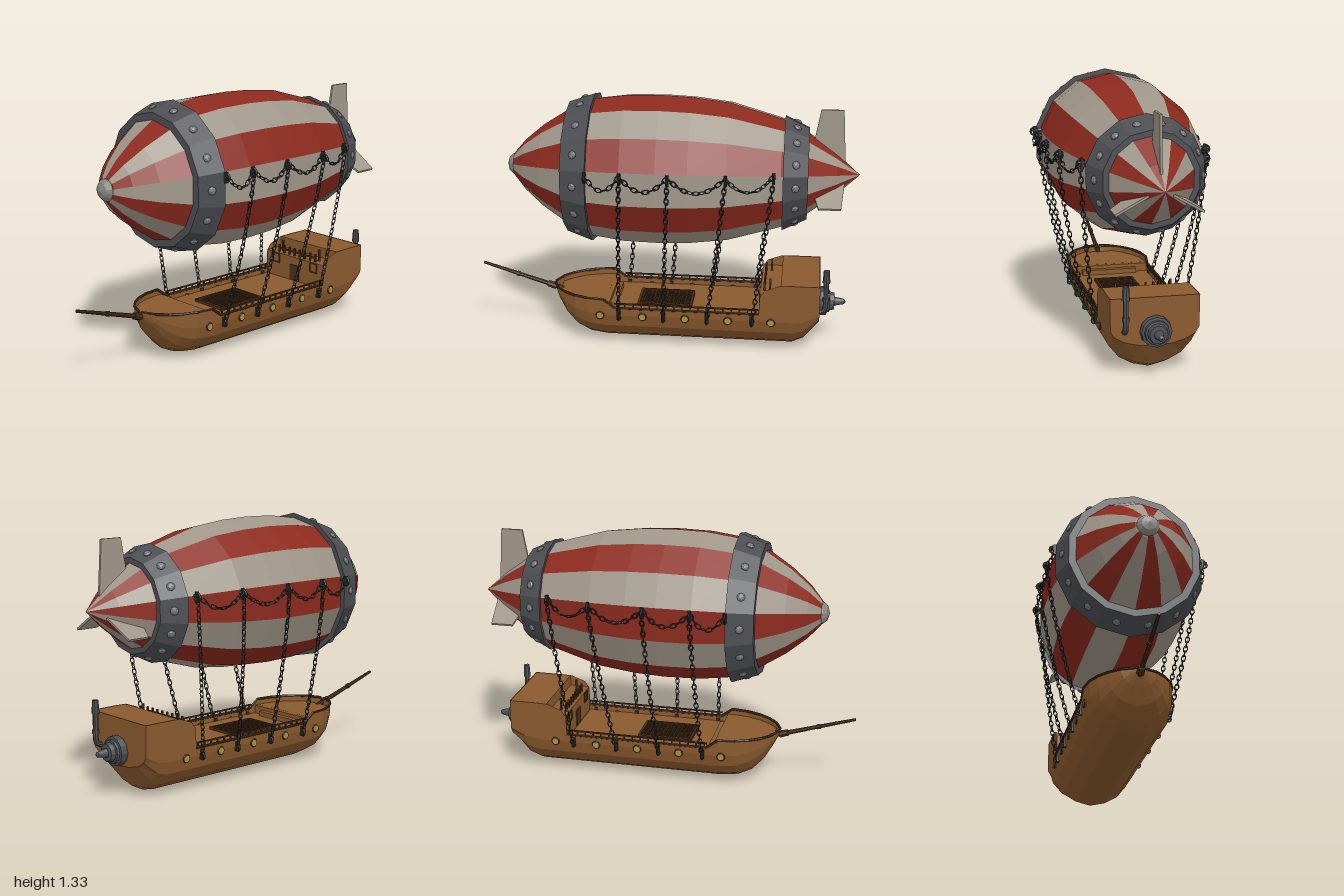
import * as THREE from 'three';
import { mergeGeometries } from 'three/addons/utils/BufferGeometryUtils.js';

const SIDES = 14, STEP = Math.PI * 2 / SIDES, AXIS_Y = 0.94;
const V = (x, y, z) => new THREE.Vector3(x, y, z);
const mat = (color, side = THREE.FrontSide) => new THREE.MeshStandardMaterial({ color, side, flatShading: true });

export function createModel() {
  const model = new THREE.Group();
  const red = mat(0x8c2a1e), cream = mat(0xa0978a), iron = mat(0x4c4e52), dark = mat(0x303032),
    wood = mat(0x8a5a2e), woodShell = mat(0x8a5a2e, THREE.DoubleSide), trim = mat(0x4a2f1b), brass = mat(0xa8944a);

  const add = (name, geo, material, parent = model) => {
    const mesh = new THREE.Mesh(geo, material);
    mesh.name = name;
    parent.add(mesh);
    return mesh;
  };
  const box = (w, h, d, x, y, z) => new THREE.BoxGeometry(w, h, d).translate(x, y, z);
  const rod = (a, b, r0, r1 = r0, sides = 6) => {
    const d = b.clone().sub(a);
    return new THREE.CylinderGeometry(r1, r0, d.length(), sides)
      .applyQuaternion(new THREE.Quaternion().setFromUnitVectors(V(0, 1, 0), d.clone().normalize()))
      .translate(...a.clone().add(b).multiplyScalar(0.5).toArray());
  };
  // Turned shape about the z axis, from [z, radius] pairs running back to front
  const turned = (pts, sides = SIDES, start = 0, sweep = Math.PI * 2) =>
    new THREE.LatheGeometry(pts.map(([z, r]) => new THREE.Vector2(r, z)), sides, start, sweep).rotateX(Math.PI / 2);

  // Balloon: striped gores
  const balloon = new THREE.Group();
  balloon.name = 'balloon';
  balloon.position.y = AXIS_Y;
  model.add(balloon);
  const profile = [[-1, 0], [-0.88, 0.105], [-0.73, 0.215], [-0.6, 0.285], [-0.33, 0.362], [-0.14, 0.385],
    [0.02, 0.392], [0.2, 0.388], [0.37, 0.365], [0.5, 0.31], [0.64, 0.22], [0.74, 0.135], [0.8, 0.065], [0.83, 0]];
  const gores = [[], []];
  for (let i = 0; i < SIDES; i++) gores[i % 2].push(turned(profile, 1, i * STEP, STEP));
  add('redStripes', mergeGeometries(gores[0]), red, balloon);
  add('creamStripes', mergeGeometries(gores[1]), cream, balloon);
  add('noseCap', turned([[0.785, 0.045], [0.79, 0.06], [0.81, 0.056], [0.83, 0.038], [0.842, 0]]), mat(0x8a8780), balloon);

  // Riveted iron bands
  for (const [name, z0, r0, z1, r1] of [['frontBand', 0.37, 0.392, 0.505, 0.345], ['rearBand', -0.735, 0.24, -0.61, 0.3]]) {
    add(name, turned([[z0, r0 - 0.04], [z0, r0], [z1, r1], [z1, r1 - 0.04]]), iron, balloon);
    const rivets = [], r = (r0 + r1) / 2 * Math.cos(STEP / 2), tilt = Math.atan2(r0 - r1, z1 - z0);
    for (let i = 0; i < SIDES; i++) {
      rivets.push(new THREE.SphereGeometry(0.022, 8, 5).scale(1, 0.6, 1).rotateX(tilt)
        .translate(0, r, (z0 + z1) / 2).rotateZ((i + 0.5) * STEP));
    }
    add(name + 'Rivets', mergeGeometries(rivets), mat(0x77787a), balloon);
  }

  // Tail fins
  const finShape = new THREE.Shape([[-0.75, 0.12], [-0.925, 0.03], [-0.905, 0.34], [-0.79, 0.34]].map(p => new THREE.Vector2(...p)));
  const finGeo = new THREE.ExtrudeGeometry(finShape, { depth: 0.012, bevelEnabled: false }).rotateY(-Math.PI / 2).translate(0.006, 0, 0);
  [0, 1, -1].forEach(k => {
    const fin = add('tailFin', finGeo, cream, balloon);
    fin.rotation.z = k * Math.PI * 2 / 3;
    if (k) fin.scale.y = 0.72;
  });

  // Hull: cross-sections [z, half width, keel height, top height] from bow to stern
  const stations = [[0.605, 0.012, 0.25, 0.275], [0.575, 0.085, 0.19, 0.275], [0.53, 0.135, 0.11, 0.275], [0.47, 0.178, 0.045, 0.275],
    [0.4, 0.207, 0.012, 0.275], [0.31, 0.22, 0, 0.275], [0.25, 0.22, 0, 0.23], [-0.505, 0.22, 0, 0.23], [-0.51, 0.22, 0, 0.33],
    [-0.535, 0.22, 0, 0.365], [-0.61, 0.22, 0, 0.393], [-0.68, 0.22, 0, 0.395], [-0.74, 0.22, 0.03, 0.395], [-0.82, 0.22, 0.15, 0.395]];
  const half = [[0.99, 0.68], [0.91, 0.44], [0.68, 0.21], [0.37, 0.07]];
  const section = ([z, w, k, top]) => {
    const side = half.map(([x, h]) => [x * w, k + h * (0.275 - k)]);
    return [[w, top], ...side, [0, k], ...side.map(([x, y]) => [-x, y]).reverse(), [-w, top]].map(([x, y]) => V(x, y, z));
  };
  const rings = stations.map(section), n = rings[0].length, index = [];
  for (let i = 0; i < rings.length - 1; i++) {
    for (let j = 0; j < n - 1; j++) {
      const a = i * n + j, b = a + n;
      index.push(a, b, a + 1, b, b + 1, a + 1);
    }
  }
  const last = (rings.length - 1) * n;
  for (let j = 1; j < n - 1; j++) index.push(last, last + j + 1, last + j);
  for (let j = 1; j < n - 1; j++) index.push(0, j, j + 1);
  const hullGeo = new THREE.BufferGeometry().setFromPoints(rings.flat());
  hullGeo.setIndex(index);
  hullGeo.computeVertexNormals();
  add('hull', hullGeo, woodShell);

  // Decks cut to the hull's outline
  const deck = (name, list, y) => {
    const pts = [...list.map(s => [s[1] - 0.004, -s[0]]), ...list.map(s => [-s[1] + 0.004, -s[0]]).reverse()];
    const shape = new THREE.Shape(pts.map(p => new THREE.Vector2(...p)));
    add(name, new THREE.ExtrudeGeometry(shape, { depth: 0.01, bevelEnabled: false }).rotateX(-Math.PI / 2).translate(0, y - 0.01, 0), wood);
  };
  deck('foreDeck', stations.slice(1, 6), 0.245);
  deck('mainDeck', stations.slice(4, 8), 0.2);
  add('foreDeckSteps', mergeGeometries([box(0.43, 0.045, 0.03, 0, 0.222, 0.3), box(0.3, 0.028, 0.03, 0, 0.212, 0.27)]), wood);

  // Stern castle with balcony
  add('sternCastle', mergeGeometries([box(0.436, 0.14, 0.2, 0, 0.265, -0.61), box(0.436, 0.12, 0.2, 0, 0.333, -0.717)]), wood);
  const castleTrim = [box(0.29, 0.009, 0.009, 0, 0.358, -0.53)];
  for (let i = 0; i < 8; i++) castleTrim.push(box(0.009, 0.05, 0.009, -0.14 + i * 0.04, 0.355, -0.53));
  for (const s of [-1, 1]) {
    castleTrim.push(box(0.01, 0.07, 0.01, s * 0.14, 0.365, -0.56));
    for (const e of [-1, 1]) {
      castleTrim.push(box(0.006, 0.055, 0.008, s * 0.145 + e * 0.025, 0.305, -0.508), box(0.05, 0.006, 0.008, s * 0.145, 0.305 + e * 0.025, -0.508));
    }
  }
  castleTrim.push(box(0.07, 0.09, 0.006, 0, 0.245, -0.508));
  add('balconyRailAndFrames', mergeGeometries(castleTrim), trim);

  // Gunwale trim and side railings
  const gunwale = [], rails = [];
  for (const s of [-1, 1]) {
    for (let i = 0; i < 7; i++) {
      const [a, b] = [stations[i], stations[i + 1]].map(([z, w, , top]) => V(s * w, top, z));
      gunwale.push(rod(a, b, 0.007));
    }
    rails.push(box(0.009, 0.007, 0.76, s * 0.215, 0.252, -0.125));
    for (let i = 0; i <= 17; i++) rails.push(box(0.007, 0.03, 0.007, s * 0.215, 0.238, 0.24 - i * 0.043));
  }
  add('gunwale', mergeGeometries(gunwale), trim);
  add('sideRailings', mergeGeometries(rails), trim);

  // Deck hatch with grating
  const hatch = [];
  for (const s of [-1, 1]) hatch.push(box(0.2, 0.016, 0.012, 0, 0.206, s * 0.14), box(0.012, 0.016, 0.29, s * 0.1, 0.206, 0));
  for (let i = -4; i <= 4; i++) hatch.push(box(0.006, 0.01, 0.28, i * 0.021, 0.206, 0));
  for (let i = -6; i <= 6; i++) hatch.push(box(0.19, 0.01, 0.006, 0, 0.207, i * 0.021));
  add('hatchGrating', mergeGeometries(hatch), trim);
  add('hatchWell', box(0.19, 0.003, 0.28, 0, 0.201, 0), mat(0x24170d));

  // Bowsprit
  const spritStart = V(0, 0.235, 0.56), spritEnd = V(0, 0.37, 1);
  const along = t => spritStart.clone().lerp(spritEnd, t);
  add('bowsprit', mergeGeometries([rod(spritStart, spritEnd, 0.014, 0.008, 8), rod(along(0.1), along(0.2), 0.02, 0.018, 8),
    rod(along(0.55), along(0.59), 0.014, 0.014, 8)]), trim);

  // Portholes
  const ports = [], portRims = [];
  for (const s of [-1, 1]) {
    for (let i = 0; i < 5; i++) {
      const z = 0.33 - i * 0.225;
      ports.push(new THREE.CylinderGeometry(0.017, 0.017, 0.014, 10).rotateZ(Math.PI / 2).translate(s * 0.217, 0.185, z));
      portRims.push(new THREE.TorusGeometry(0.019, 0.004, 5, 12).rotateY(Math.PI / 2).translate(s * 0.22, 0.185, z));
    }
  }
  add('portholes', mergeGeometries(ports), brass);
  add('portholeRims', mergeGeometries(portRims), trim);

  // Engine and exhaust on the stern
  add('engine', turned([[-0.96, 0], [-0.95, 0.014], [-0.9, 0.024], [-0.898, 0.045], [-0.875, 0.05], [-0.873, 0.06], [-0.86, 0.062],
    [-0.858, 0.075], [-0.83, 0.078], [-0.81, 0.07]], 12).translate(0, 0.23, 0), iron);
  const pipePath = new THREE.CatmullRomCurve3([V(0.15, 0.23, -0.81), V(0.15, 0.235, -0.84), V(0.15, 0.27, -0.85), V(0.15, 0.36, -0.85), V(0.15, 0.45, -0.85)]);
  add('exhaustPipe', mergeGeometries([new THREE.TubeGeometry(pipePath, 14, 0.014, 8), rod(V(0.15, 0.395, -0.85), V(0.15, 0.462, -0.85), 0.02, 0.016, 8),
    rod(V(0.15, 0.29, -0.85), V(0.15, 0.31, -0.85), 0.019, 0.019, 8)]), iron);

  // Chains: links laid along a curve, every other one turned a quarter
  const link = new THREE.TorusGeometry(0.0105, 0.003, 4, 8).scale(1, 1.75, 1).rotateX(Math.PI / 2);
  const chain = curve => {
    const count = Math.round(curve.getLength() / 0.029), links = [];
    for (let i = 0; i < count; i++) {
      const u = (i + 0.5) / count, p = curve.getPointAt(u);
      const q = new THREE.Quaternion().setFromUnitVectors(V(0, 0, 1), curve.getTangentAt(u));
      links.push(link.clone().rotateZ(i % 2 * Math.PI / 2).applyQuaternion(q).translate(p.x, p.y, p.z));
    }
    return mergeGeometries(links);
  };
  const anchors = [[0.37, 0.388], [0.195, 0.393], [-0.045, 0.393], [-0.33, 0.37], [-0.565, 0.303]];
  const feet = [null, 0.23, -0.005, -0.235, -0.47];
  for (const s of [-1, 1]) {
    const eyes = [], hang = [], swags = [];
    anchors.forEach(([z, x], i) => {
      eyes.push(rod(V(s * (x - 0.04), 1.005, z), V(s * (x + 0.018), 1.005, z), 0.008), box(0.012, 0.055, 0.016, s * x, 1, z),
        new THREE.TorusGeometry(0.02, 0.006, 5, 10).translate(s * (x + 0.005), 1.0, z));
      if (i) {
        const f = feet[i], [pz, px] = anchors[i - 1];
        hang.push(chain(new THREE.QuadraticBezierCurve3(V(s * (x + 0.008), 0.99, z), V(s * (x * 0.82 + 0.045), 0.68, z * 0.65 + f * 0.35), V(s * 0.228, 0.18, f))));
        eyes.push(new THREE.TorusGeometry(0.016, 0.005, 5, 10).translate(s * 0.225, 0.18, f), box(0.014, 0.05, 0.02, s * 0.219, 0.19, f));
        swags.push(chain(new THREE.QuadraticBezierCurve3(V(s * px, 1.015, pz), V(s * ((px + x) / 2 + 0.028), 0.865, (pz + z) / 2), V(s * x, 1.015, z))));
      }
    });
    const side = s > 0 ? 'left' : 'right';
    add(side + 'ChainAnchors', mergeGeometries(eyes), dark);
    add(side + 'HangingChains', mergeGeometries(hang), dark);
    add(side + 'SwagChains', mergeGeometries(swags), dark);
  }
  return model;
}
